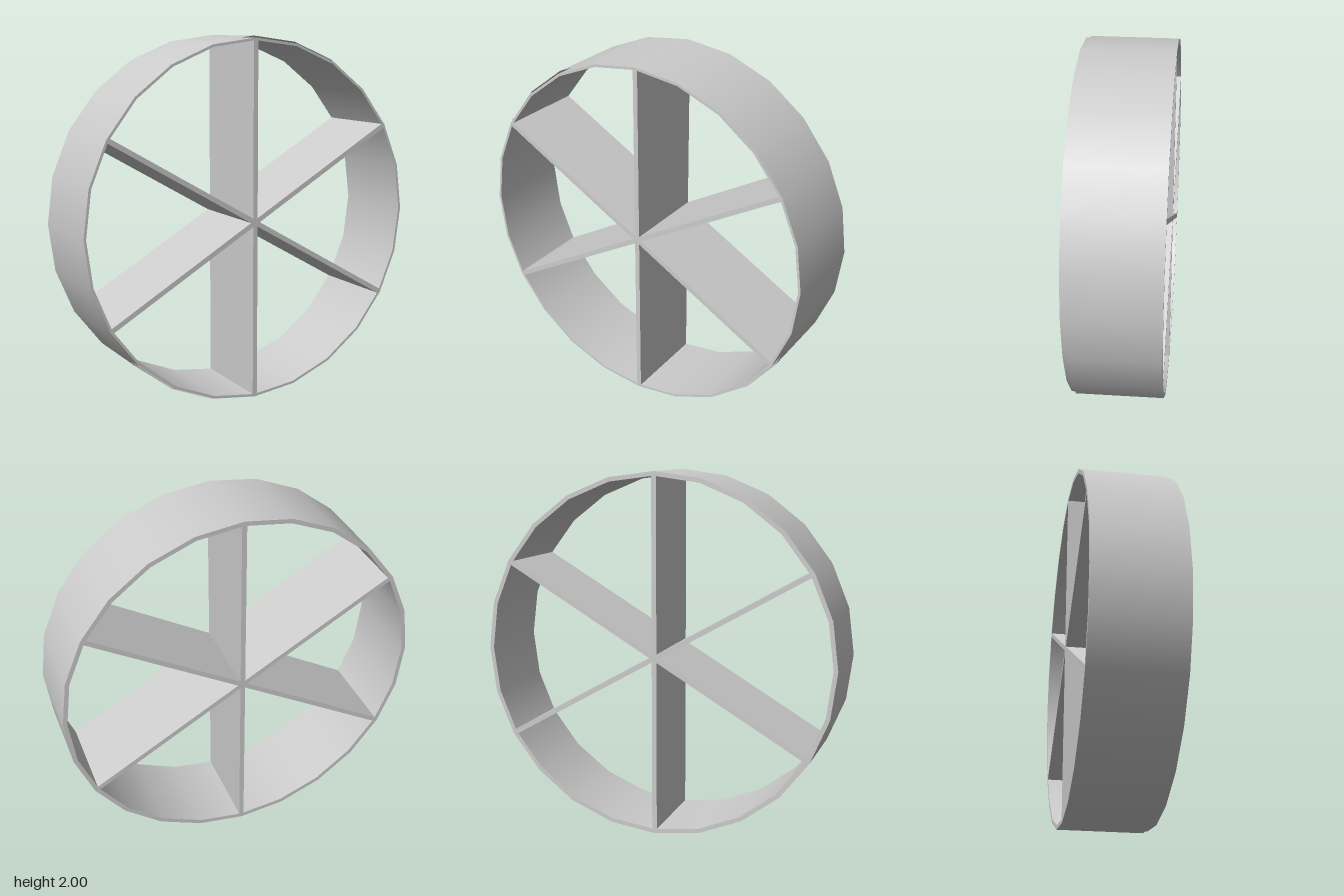
import * as THREE from 'three';

const SIDES = 24;
const DEPTH = 0.5;

export function createModel() {
  const model = new THREE.Group();
  model.name = 'spokedWheel';
  const grey = new THREE.MeshStandardMaterial({ color: 0xcccccc });
  const open = new THREE.MeshStandardMaterial({ color: 0xcccccc, side: THREE.DoubleSide });

  const wheel = new THREE.Group();
  wheel.name = 'wheel';
  wheel.position.y = 1;
  model.add(wheel);

  // One smooth band around the z axis, from (radius, z) to (radius, z)
  const band = (name, r1, z1, r2, z2, material = grey) => {
    const profile = [new THREE.Vector2(r1, z1), new THREE.Vector2(r2, z2)];
    const geometry = new THREE.LatheGeometry(profile, SIDES).rotateX(Math.PI / 2);
    const mesh = new THREE.Mesh(geometry, material);
    mesh.name = name;
    wheel.add(mesh);
  };

  // Rim: thin inner ring that stands slightly proud of the outer skin in front
  const back = -DEPTH / 2, front = DEPTH / 2;
  band('rimOuterSkin', 1, back, 1, 0.225, open);
  band('rimLip', 0.99, back, 0.99, front);
  band('rimFrontEdge', 0.99, front, 0.976, front);
  band('rimInnerWall', 0.976, front, 0.976, back);
  band('rimBackEdge', 0.976, back, 1, back);

  // Spokes: three flat plates crossing at the centre
  for (let i = 0; i < 3; i++) {
    const spoke = new THREE.Mesh(new THREE.BoxGeometry(0.027, 1.97, DEPTH), grey);
    spoke.name = `spokePlate${i + 1}`;
    spoke.rotation.z = (i * Math.PI) / 3;
    wheel.add(spoke);
  }

  return model;
}
